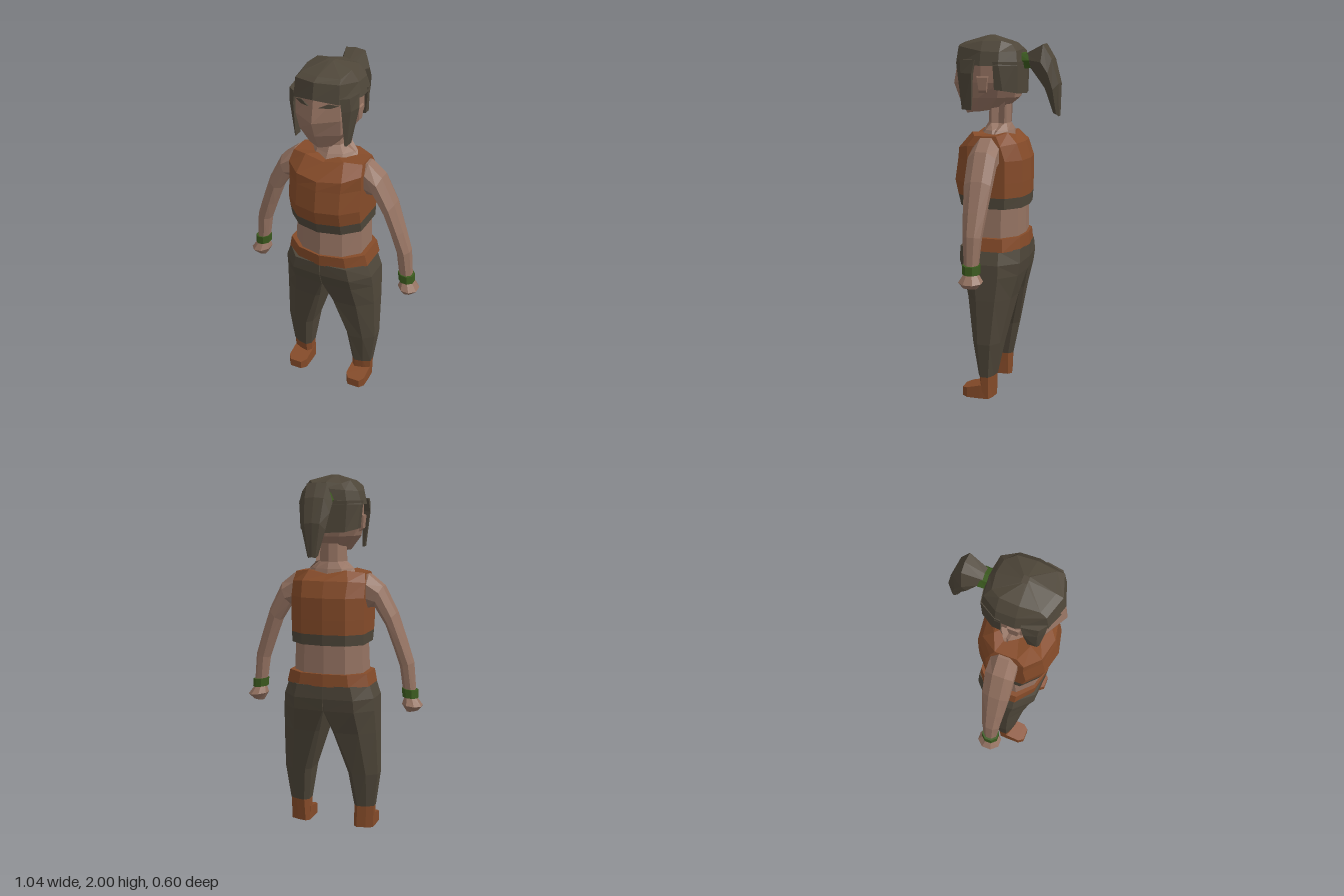
import * as THREE from 'three';

const mat = (name, color) => {
  const m = new THREE.MeshStandardMaterial({ color, flatShading: true });
  m.name = name;
  return m;
};

// Closed skin over equal-length rings of [x, y, z]; faces always turn outward.
function loft(rings) {
  const n = rings[0].length;
  const pts = rings.flat().map(p => new THREE.Vector3(...p));
  let tris = [];
  for (let r = 0; r < rings.length - 1; r++) {
    for (let k = 0; k < n; k++) {
      const a = r * n + k, b = r * n + (k + 1) % n;
      tris.push([a, b, b + n], [a, b + n, a + n]);
    }
  }
  for (const [r, flip] of [[0, true], [rings.length - 1, false]]) {
    const c = new THREE.Vector3();
    rings[r].forEach(p => c.add(new THREE.Vector3(...p)));
    const ci = pts.push(c.divideScalar(n)) - 1;
    for (let k = 0; k < n; k++) {
      const a = r * n + k, b = r * n + (k + 1) % n;
      tris.push(flip ? [ci, b, a] : [ci, a, b]);
    }
  }
  const vol = tris.reduce((v, [a, b, c]) => v + pts[a].dot(pts[b].clone().cross(pts[c])), 0);
  if (vol < 0) tris = tris.map(([a, b, c]) => [a, c, b]);
  const g = new THREE.BufferGeometry();
  g.setAttribute('position', new THREE.Float32BufferAttribute(
    tris.flat().flatMap(i => pts[i].toArray()), 3));
  g.computeVertexNormals();
  return g;
}

// Half outline from front centre to back centre, mirrored into a full ring.
const mirrorRing = half =>
  [...half, ...half.slice(1, -1).reverse().map(([x, y, z]) => [-x, y, z])];

const bodyRing = (y, w, zf, zb) => mirrorRing([
  [0, y, zf], [w * 0.6, y, zf - 0.03], [w, y, zf - 0.11],
  [w, y, zb + 0.09], [w * 0.6, y, zb + 0.015], [0, y, zb]]);

// Octagon between an outer and an inner point of the arm.
function armRing([ox, oy], [ix, iy], zf, zb) {
  return Array.from({ length: 8 }, (_, k) => {
    const a = (k + 0.5) * Math.PI / 4, q = Math.cos(Math.PI / 8);
    const t = (1 - Math.cos(a) / q) / 2, u = (1 + Math.sin(a) / q) / 2;
    return [ox + (ix - ox) * t, oy + (iy - oy) * t, zb + (zf - zb) * u];
  });
}

// Leg section: flat inside, rounded outside.
function legRing(y, xi, xo, zf, zb, c) {
  const d = (xo - xi) * 0.35, h = (zf - zb) * 0.3;
  return [[xi, y, zf - c], [xi + c, y, zf], [xo - d, y, zf - 0.01], [xo, y, zf - h],
    [xo, y, zb + h], [xo - d, y, zb + 0.01], [xi + c, y, zb], [xi, y, zb + c]];
}

const mirrorX = (rings, s) => rings.map(r => r.map(([x, y, z]) => [x * s, y, z]));

export function createModel() {
  const group = new THREE.Group();
  const skin = mat('skin', 0x957362), cloth = mat('rust cloth', 0x854b29);
  const dark = mat('dark brown', 0x4e4639), green = mat('green band', 0x3b5a1e);
  const add = (name, geo, m) => {
    const mesh = new THREE.Mesh(geo, m);
    mesh.name = name;
    group.add(mesh);
    return mesh;
  };

  // Torso and clothing
  add('waist', loft([bodyRing(0.9, 0.2, 0.235, -0.11), bodyRing(1.1, 0.195, 0.22, -0.11)]), skin);
  add('waistband', loft([bodyRing(0.85, 0.24, 0.24, -0.13), bodyRing(0.92, 0.225, 0.245, -0.125)]), cloth);
  add('vestHem', loft([bodyRing(1.08, 0.208, 0.258, -0.13), bodyRing(1.14, 0.21, 0.272, -0.134)]), dark);
  add('vest', loft([
    bodyRing(1.14, 0.21, 0.272, -0.134),
    bodyRing(1.22, 0.21, 0.29, -0.136),
    bodyRing(1.34, 0.21, 0.272, -0.136),
    mirrorRing([[0, 1.39, 0.262], [0.13, 1.4, 0.235], [0.21, 1.42, 0.165],
      [0.21, 1.42, -0.02], [0.13, 1.43, -0.09], [0, 1.43, -0.105]]),
    mirrorRing([[0, 1.465, 0.175], [0.11, 1.485, 0.165], [0.2, 1.472, 0.125],
      [0.2, 1.472, 0.005], [0.11, 1.485, -0.035], [0, 1.465, -0.05]]),
  ]), cloth);

  // Neck and collar
  add('neck', loft([
    bodyRing(1.45, 0.14, 0.16, -0.05), bodyRing(1.492, 0.125, 0.13, -0.04),
    bodyRing(1.53, 0.08, 0.105, -0.025), bodyRing(1.66, 0.077, 0.1, -0.025)]), skin);

  // Head
  add('head', loft([
    mirrorRing([[0, 1.575, 0.23], [0.06, 1.585, 0.205], [0.075, 1.59, 0.14],
      [0.075, 1.6, 0.08], [0.05, 1.61, 0.02], [0, 1.61, 0]]),
    mirrorRing([[0, 1.66, 0.275], [0.115, 1.66, 0.215], [0.142, 1.67, 0.12],
      [0.13, 1.67, 0.02], [0.07, 1.67, -0.06], [0, 1.67, -0.075]]),
    mirrorRing([[0, 1.74, 0.305], [0.125, 1.75, 0.235], [0.163, 1.75, 0.1],
      [0.16, 1.75, 0], [0.1, 1.75, -0.08], [0, 1.75, -0.09]]),
    mirrorRing([[0, 1.88, 0.278], [0.12, 1.88, 0.232], [0.165, 1.88, 0.1],
      [0.16, 1.88, 0], [0.1, 1.88, -0.07], [0, 1.88, -0.09]]),
  ]), skin);

  // Hair
  add('hairCrown', loft([
    mirrorRing([[0, 1.862, 0.29], [0.125, 1.842, 0.25], [0.182, 1.84, 0.1],
      [0.18, 1.84, 0], [0.125, 1.84, -0.09], [0, 1.84, -0.113]]),
    mirrorRing([[0, 1.945, 0.272], [0.12, 1.94, 0.235], [0.162, 1.915, 0.1],
      [0.16, 1.91, 0], [0.11, 1.915, -0.08], [0, 1.925, -0.09]]),
    mirrorRing([[0, 1.962, 0.235], [0.11, 1.955, 0.2], [0.122, 1.968, 0.1],
      [0.115, 1.968, 0], [0.08, 1.95, -0.05], [0, 1.96, -0.06]]),
    mirrorRing([[0, 1.998, 0.1], [0.02, 1.998, 0.1], [0.02, 1.998, 0.09],
      [0.02, 1.998, 0.08], [0.02, 1.998, 0.07], [0, 1.998, 0.07]]),
  ]), dark);
  add('backHair', loft([
    mirrorRing([[0, 1.69, 0.02], [0.168, 1.715, 0.025], [0.164, 1.71, -0.02],
      [0.115, 1.695, -0.09], [0, 1.69, -0.11]]),
    mirrorRing([[0, 1.86, 0.02], [0.181, 1.86, 0.03], [0.178, 1.86, 0],
      [0.125, 1.86, -0.09], [0, 1.86, -0.113]]),
  ]), dark);

  // Ponytail, each row: top y z, bottom y z, half width
  const tailRing = ([ty, tz, by, bz, w]) => mirrorRing([
    [0, ty, tz], [w * 0.65, ty - 0.005, tz + 0.004],
    [w, (ty + by) / 2, (tz + bz) / 2], [w * 0.65, by, bz], [0, by, bz]]);
  const tail = rows => loft(rows.map(tailRing));
  add('hairTie', tail([[1.91, -0.075, 1.82, -0.085, 0.055], [1.905, -0.13, 1.825, -0.14, 0.058]]), green);
  add('ponytail', tail([
    [1.905, -0.115, 1.83, -0.135, 0.05], [1.955, -0.215, 1.76, -0.195, 0.085],
    [1.88, -0.262, 1.72, -0.222, 0.08], [1.75, -0.298, 1.68, -0.235, 0.065],
    [1.575, -0.298, 1.587, -0.262, 0.03]]), dark);

  for (const s of [1, -1]) {
    const side = s > 0 ? 'left' : 'right';
    const part = (name, rings, m) => add(side + name, loft(mirrorX(rings, s)), m);

    // Closed eye, a thin plate on the face
    const eye = new THREE.Shape([[0.03, 1.822], [0.085, 1.818], [0.128, 1.832], [0.08, 1.842]]
      .map(([u, v]) => new THREE.Vector2(u * s, v)));
    const plate = add(side + 'Eye', new THREE.ExtrudeGeometry(eye, { depth: 0.006, bevelEnabled: false }), dark);
    plate.rotation.y = s * 0.415;
    plate.position.z = 0.288;

    // Hair lock in front of the ear
    part('HairLock', [
      [[0.18, 1.87, 0.13], [0.165, 1.87, 0.215], [0.125, 1.87, 0.245], [0.13, 1.87, 0.13]],
      [[0.186, 1.8, 0.145], [0.17, 1.8, 0.21], [0.133, 1.8, 0.24], [0.14, 1.8, 0.145]],
      [[0.15, 1.605, 0.16], [0.147, 1.605, 0.205], [0.138, 1.605, 0.215], [0.138, 1.605, 0.16]],
    ], dark);

    // Ear
    part('Ear', [
      [[0.14, 1.69, 0.07], [0.14, 1.69, 0.12], [0.14, 1.79, 0.13], [0.14, 1.79, 0.05]],
      [[0.168, 1.71, 0.07], [0.168, 1.71, 0.11], [0.173, 1.78, 0.12], [0.173, 1.78, 0.06]],
    ], skin);

    // Arm, bracelet and fist
    part('Arm', [
      armRing([0.17, 1.465], [0.17, 1.27], 0.13, -0.01),
      armRing([0.215, 1.463], [0.205, 1.28], 0.132, -0.015),
      armRing([0.295, 1.4], [0.25, 1.285], 0.137, -0.017),
      armRing([0.37, 1.255], [0.313, 1.185], 0.135, -0.01),
      armRing([0.425, 1.1], [0.355, 1.07], 0.125, 0.005),
      armRing([0.465, 0.98], [0.393, 0.96], 0.115, 0.018),
      armRing([0.482, 0.8], [0.415, 0.8], 0.102, 0.032),
    ], skin);
    part('Bracelet', [
      armRing([0.49, 0.828], [0.405, 0.838], 0.112, 0.022),
      armRing([0.493, 0.782], [0.41, 0.788], 0.112, 0.022),
    ], green);
    part('Hand', [
      armRing([0.482, 0.79], [0.42, 0.79], 0.1, 0.035),
      armRing([0.518, 0.738], [0.41, 0.748], 0.128, 0.004),
      armRing([0.5, 0.715], [0.435, 0.702], 0.1, 0.035),
    ], skin);

    // Trouser leg
    part('TrouserLeg', [
      legRing(0.855, 0, 0.238, 0.235, -0.127, 0.003),
      legRing(0.78, 0, 0.264, 0.235, -0.13, 0.003),
      legRing(0.71, 0, 0.268, 0.212, -0.12, 0.003),
      legRing(0.58, 0.04, 0.274, 0.18, -0.085, 0.02),
      legRing(0.33, 0.112, 0.279, 0.145, -0.032, 0.03),
      legRing(0.13, 0.138, 0.254, 0.115, 0.008, 0.025),
    ], dark);

    // Boot
    part('BootCuff', [
      legRing(0.132, 0.138, 0.252, 0.112, 0.01, 0.025),
      legRing(0, 0.136, 0.248, 0.1, 0.015, 0.02),
    ], cloth);
    const toe = (z, a, b, h) => [[a, 0, z], [b, 0, z], [b, h, z], [a, h, z]];
    part('BootToe', [toe(0.05, 0.136, 0.248, 0.08), toe(0.09, 0.134, 0.25, 0.077),
      toe(0.165, 0.134, 0.25, 0.058), toe(0.195, 0.158, 0.228, 0.05)], cloth);
  }
  return group;
}
